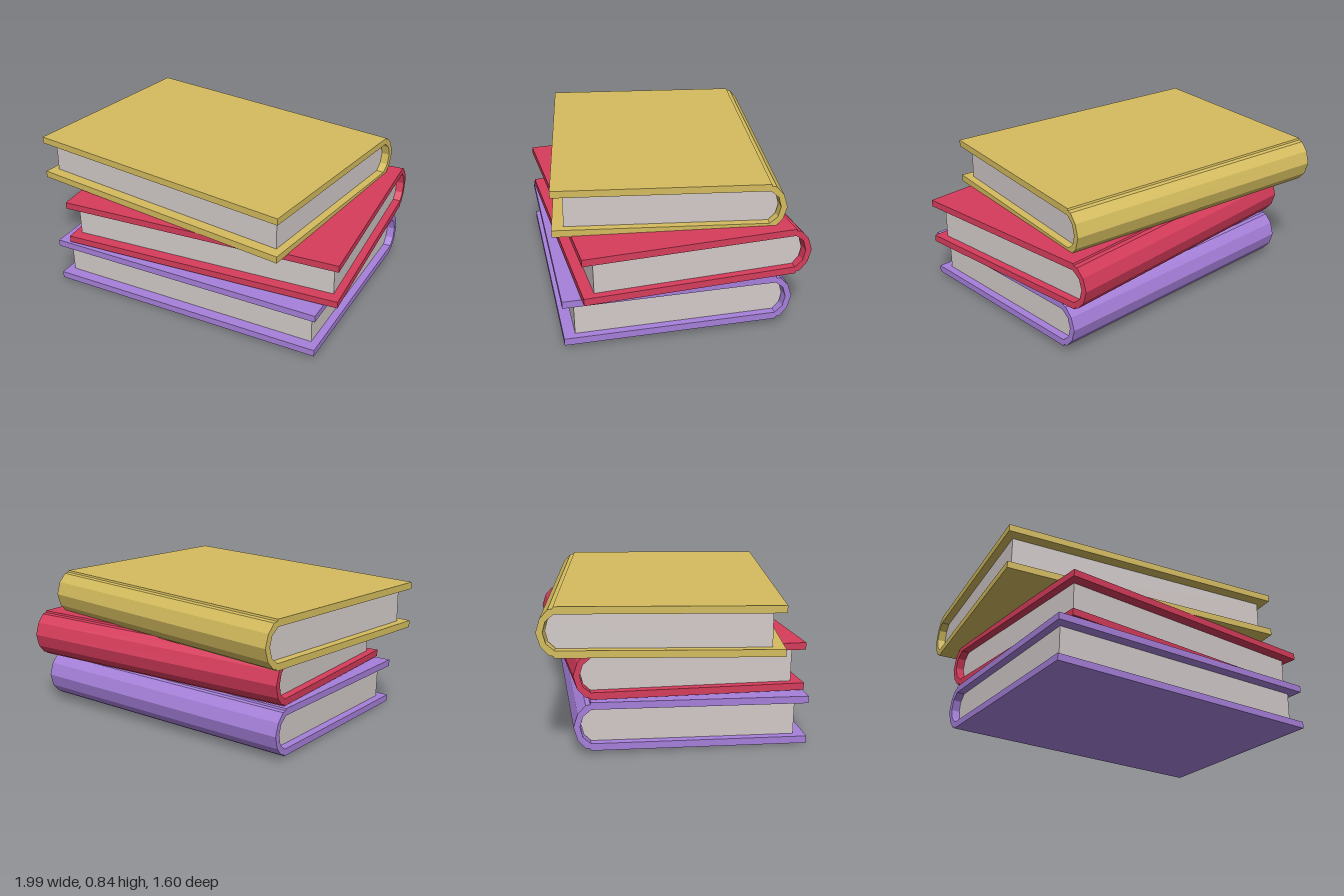
import * as THREE from 'three';

const LENGTH = 1.705, HALF_DEPTH = 0.645, HALF_THICK = 0.136;

// Upper half of each cross-section as [distance towards spine, height], front edge first
const COVER_OUTER = [[-HALF_DEPTH, HALF_THICK], [0.553, HALF_THICK], [0.556, 0.125], [0.58, 0.121], [0.623, 0.073]];
const COVER_INNER = [[-HALF_DEPTH, 0.096], [0.55, 0.096], [0.594, 0.059]];
const PAGES = [[-0.58, 0.095], [0.547, 0.095], [0.587, 0.057]];

// Mirror a half profile below the middle, passing through the tip of the spine
function mirrored(half, tip) {
  const lower = half.map(([u, y]) => [u, -y]).reverse();
  return [...half, [tip, 0], ...lower].map(([u, y]) => new THREE.Vector2(u, y));
}

// Extrude a profile along x, with the spine side facing -z
function extrudeAlongX(points, length) {
  const geo = new THREE.ExtrudeGeometry(new THREE.Shape(points), { depth: length, bevelEnabled: false });
  return geo.translate(0, 0, -length / 2).rotateY(Math.PI / 2);
}

export function createModel() {
  const model = new THREE.Group();
  model.name = 'bookStack';

  // Cover is a C-shaped shell, open at the front; pages are a block with a rounded back
  const coverGeo = extrudeAlongX(
    [...mirrored(COVER_OUTER, 0.645), ...mirrored(COVER_INNER, 0.61).reverse()], LENGTH);
  const pagesGeo = extrudeAlongX(mirrored(PAGES, 0.602), 1.615);
  const paper = new THREE.MeshStandardMaterial({ color: 0xd2cac9 });

  function addBook(name, color, position, [tiltX, turnY, tiltZ]) {
    const book = new THREE.Group();
    book.name = name;
    const cover = new THREE.Mesh(coverGeo, new THREE.MeshStandardMaterial({ color }));
    cover.name = 'cover';
    const pages = new THREE.Mesh(pagesGeo, paper);
    pages.name = 'pages';
    book.add(cover, pages);
    book.position.set(...position);
    book.rotation.set(tiltX, turnY, tiltZ, 'YXZ');
    model.add(book);
  }

  // Stack from bottom to top, the lower two turned and slightly tilted
  addBook('bottomBook', 0xa680da, [0, 0.156, 0.047], [0.019, 0.127, 0.0085]);
  addBook('middleBook', 0xd63c5b, [0.035, 0.439, -0.008], [0.019, 0.189, 0.0085]);
  addBook('topBook', 0xd4bc5e, [-0.148, 0.7, -0.017], [0, 0, 0]);
  return model;
}
